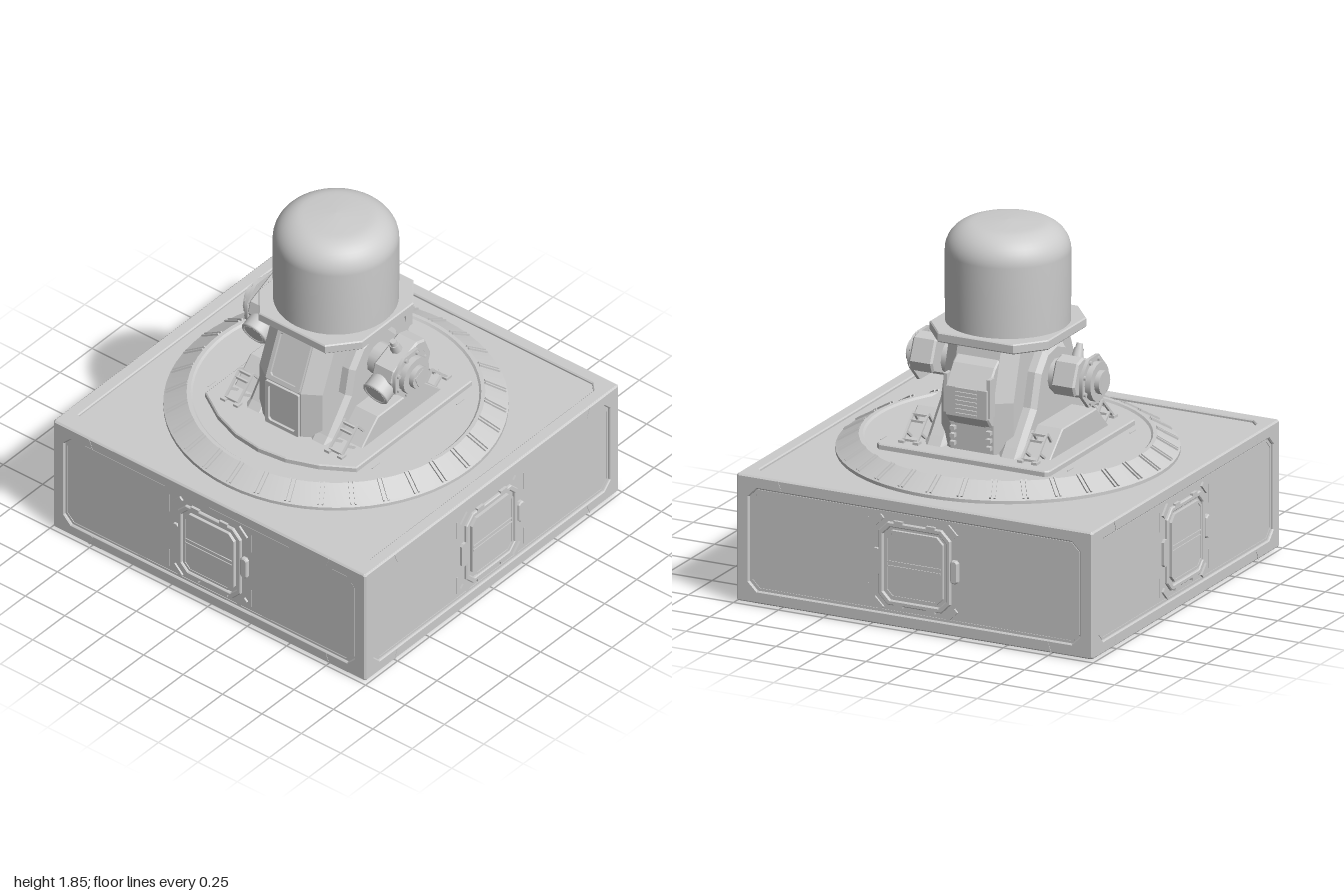
import * as THREE from 'three';
import { ConvexGeometry } from 'three/addons/geometries/ConvexGeometry.js';
import { toCreasedNormals } from 'three/addons/utils/BufferGeometryUtils.js';

const grey = new THREE.MeshStandardMaterial({ color: 0xcccccc });
grey.name = 'light grey';

function add(parent, name, geometry, x = 0, y = 0, z = 0) {
  const mesh = new THREE.Mesh(geometry, grey);
  mesh.name = name;
  mesh.position.set(x, y, z);
  parent.add(mesh);
  return mesh;
}
function group(parent, name) {
  const g = new THREE.Group();
  g.name = name;
  parent.add(g);
  return g;
}
const box = (w, h, d) => new THREE.BoxGeometry(w, h, d);
const cylX = (r1, r2, h, n = 24) => new THREE.CylinderGeometry(r1, r2, h, n).rotateZ(-Math.PI / 2);
const cylZ = (r1, r2, h, n = 24) => new THREE.CylinderGeometry(r1, r2, h, n).rotateX(Math.PI / 2);
const poly = (pts) => new THREE.Shape(pts.map((p) => new THREE.Vector2(p[0], p[1])));
// rectangle with cut corners
const cutRect = (w, h, c) => [[-w + c, -h], [w - c, -h], [w, -h + c], [w, h - c], [w - c, h], [-w + c, h], [-w, h - c], [-w, -h + c]];

// plate standing on z = 0, optionally pierced and bevelled
function plate(pts, depth, hole, bevel = 0) {
  const shape = poly(pts);
  if (hole) shape.holes.push(poly(hole));
  return new THREE.ExtrudeGeometry(shape, {
    depth: depth - bevel, bevelEnabled: bevel > 0, bevelSize: bevel, bevelThickness: bevel, bevelOffset: -bevel, bevelSegments: 1,
  });
}
// (z, y) profile extruded along x and centred on it
const slabX = (pts, w, bevel = 0) => new THREE.ExtrudeGeometry(poly(pts), {
  depth: w - 2 * bevel, bevelEnabled: bevel > 0, bevelSize: bevel, bevelThickness: bevel, bevelOffset: -bevel, bevelSegments: 1,
}).translate(0, 0, -w / 2 + bevel).rotateY(-Math.PI / 2);

function strut(parent, a, b, t = 0.012) {
  const p = new THREE.Vector3(...a), q = new THREE.Vector3(...b);
  const m = add(parent, 'strut', box(t, t, p.distanceTo(q)));
  m.position.copy(p).add(q).multiplyScalar(0.5);
  m.lookAt(q);
}

// hatch facing +z, its back on z = 0
function hatch(parent) {
  const g = group(parent, 'hatch');
  add(g, 'hatchSurround', plate(cutRect(0.2, 0.215, 0.05), 0.018, cutRect(0.175, 0.19, 0.04), 0.005));
  add(g, 'hatchDoor', plate(cutRect(0.16, 0.175, 0.035), 0.016, null, 0.006));
  add(g, 'hatchRim', plate(cutRect(0.16, 0.175, 0.035), 0.02, cutRect(0.148, 0.163, 0.03)));
  for (const y of [-0.012, 0.012]) add(g, 'hatchBar', box(0.3, 0.008, 0.01), 0, y, 0.016);
  for (const sx of [-1, 1]) {
    for (const sy of [-1, 1]) {
      const c = add(g, 'cornerClamp', box(0.07, 0.025, 0.014), sx * 0.205, sy * 0.215, 0.007);
      c.rotation.z = -sx * sy * Math.PI / 4;
      add(g, 'edgeClip', box(0.05, 0.02, 0.018), sx * 0.09, sy * 0.215, 0.009);
      add(g, 'sideStrip', box(0.006, 0.1, 0.006), sx * 0.26, sy * 0.17, 0.003);
    }
  }
  add(g, 'hinge', plate(cutRect(0.022, 0.07, 0.012), 0.018), -0.215, 0, 0);
  add(g, 'grip', plate(cutRect(0.022, 0.06, 0.012), 0.025, null, 0.006), 0.222, 0.01, 0);
  return g;
}

function buildBase(root) {
  const g = group(root, 'base');
  const corners = [];
  for (const sx of [-1, 1]) for (const sz of [-1, 1]) for (const [y, y2] of [[0.01, 0.03], [0.655, 0.635]]) {
    corners.push(new THREE.Vector3(sx * 0.96, y, sz * 0.96), new THREE.Vector3(sx * 0.978, y2, sz * 0.96), new THREE.Vector3(sx * 0.96, y2, sz * 0.978));
  }
  add(g, 'baseBlock', new ConvexGeometry(corners));
  // four framed sides with a hatch each
  for (let i = 0; i < 4; i++) {
    const side = group(g, 'baseSide');
    side.rotation.y = i * Math.PI / 2;
    add(side, 'sideFrame', plate(cutRect(0.988, 0.328, 0.008), 0.025, cutRect(0.92, 0.265, 0.045), 0.006), 0, 0.34, 0.966);
    add(side, 'panelEdge', plate(cutRect(0.915, 0.26, 0.045), 0.004, cutRect(0.905, 0.25, 0.042)), 0, 0.34, 0.977);
    for (const s of [-1, 1]) for (const y of [0.04, 0.637]) {
      const seam = add(side, 'frameSeam', box(0.006, 0.055, 0.006), s * 0.75, y, 0.99);
      seam.rotation.z = (y > 0.3 ? -1 : 1) * s * 0.35;
    }
    hatch(side).position.set(0, 0.335, 0.975);
  }
  const top = add(g, 'topFrame', plate(cutRect(0.988, 0.988, 0.008), 0.025, cutRect(0.92, 0.92, 0.045), 0.006), 0, 0.645, 0);
  top.rotation.x = -Math.PI / 2;
  const under = hatch(g);
  under.name = 'bottomHatch';
  under.rotation.x = Math.PI / 2;
  under.position.y = 0.0101;
  under.scale.set(0.75, 0.75, 0.4);
}

function buildRing(root) {
  const g = group(root, 'turntable');
  const profile = [[0.85, 0.65], [0.85, 0.672], [0.835, 0.68], [0.735, 0.738], [0.715, 0.738], [0.705, 0.728], [0, 0.728]];
  const lathe = new THREE.LatheGeometry(profile.map((p) => new THREE.Vector2(...p)), 64);
  add(g, 'turntableRing', toCreasedNormals(lathe, 0.3));
  // paired ribs on the sloping rim
  for (let i = 0; i < 32; i++) {
    const spoke = group(g, 'ribPair');
    spoke.rotation.y = i * Math.PI / 16;
    for (const s of [-1, 1]) {
      const rib = add(spoke, 'rib', box(0.009, 0.014, 0.122), s * 0.011, 0.71, 0.787);
      rib.rotation.x = Math.atan2(0.058, 0.1);
    }
  }
  // platform with a curved front edge
  const edge = [[-0.48, 0.47], [-0.46, 0.49], [0.46, 0.49], [0.48, 0.47], [0.48, -0.43], [0.32, -0.53], [0.16, -0.59], [0, -0.61], [-0.16, -0.59], [-0.32, -0.53], [-0.48, -0.43]];
  add(g, 'platform', plate(edge.reverse(), 0.035, null, 0.006).rotateX(-Math.PI / 2), 0, 0.722, 0);
}

function buildPedestal(root) {
  const g = group(root, 'pedestal');
  const pts = [];
  for (const [y, f, b] of [[0.75, 0.41, -0.38], [1.02, 0.41, -0.38], [1.285, 0.3, -0.3]]) {
    for (const s of [-1, 1]) for (const [x, z] of [[0.11, f], [0.2, f - 0.06], [0.2, b + 0.06], [0.12, b]]) pts.push(new THREE.Vector3(s * x, y, z));
  }
  add(g, 'column', new ConvexGeometry(pts));
  // lower and upper front window frames
  const lower = [cutRect(0.105, 0.128, 0.004), cutRect(0.085, 0.108, 0.012)];
  add(g, 'lowerFrontFrame', plate(lower[0], 0.016, lower[1]), 0, 0.885, 0.408);
  const upper = add(g, 'upperFrontFrame', plate(cutRect(0.105, 0.138, 0.004), 0.016, cutRect(0.085, 0.115, 0.012)), 0, 1.15, 0.354);
  upper.rotation.x = -Math.atan2(0.11, 0.265);
  // rear vent housing with slats
  const vent = slabX([[-0.27, 1.26], [-0.36, 1.2], [-0.44, 1.1], [-0.44, 0.95], [-0.4, 0.9], [-0.36, 0.9]], 0.24, 0.008);
  add(g, 'ventHousing', vent);
  for (let i = 0; i < 7; i++) {
    const y = 0.965 + i * 0.022;
    add(g, 'ventSlat', box(0.12, 0.008, 0.012), 0, y, y > 1.1 ? -0.435 : -0.442);
  }
  for (const s of [-1, 1]) {
    add(g, 'ventRail', box(0.02, 0.2, 0.05), s * 0.12, 1.06, -0.41);
    for (let i = 0; i < 4; i++) add(g, 'rearLug', box(0.025, 0.02, 0.04), s * 0.1, 0.79 + i * 0.04, -0.385);
    // side cheeks carrying the arms
    add(g, 'cheek', slabX([[0.4, 0.75], [0.36, 0.79], [0.225, 0.97], [0.195, 1.11], [0.12, 1.215], [0.02, 1.25], [-0.09, 1.23], [-0.17, 1.14], [-0.22, 0.97], [-0.36, 0.8], [-0.4, 0.75]], 0.12, 0.025), s * 0.205, 0, 0);
    add(g, 'footBlock', slabX([[0.3, 0.75], [0.17, 0.88], [-0.19, 0.88], [-0.33, 0.75]], 0.15, 0.006), s * 0.33, 0, 0);
    // ladder-like braces, front and rear
    for (const d of [-1, 1]) {
      const brace = group(g, 'brace');
      for (const x of [0.29, 0.37]) {
        strut(brace, [s * x, 0.755, d * 0.42], [s * x, 0.88, d * 0.29]);
        strut(brace, [s * x, 0.88, d * 0.29], [s * x, 0.755, d * 0.19]);
        strut(brace, [s * x, 0.8, d * 0.37], [s * x, 0.755, d * 0.31]);
        add(brace, 'braceFoot', box(0.03, 0.016, 0.04), s * x, 0.762, d * 0.41);
      }
      for (const [y, z] of [[0.87, 0.3], [0.845, 0.325], [0.77, 0.405]]) strut(brace, [s * 0.29, y, d * z], [s * 0.37, y, d * z]);
      // thin marks on the platform
      add(g, 'platformMark', box(0.006, 0.006, 0.06), s * 0.52, 0.729, d * 0.33);
    }
  }
}

function buildArm(root, s) {
  const g = group(root, s > 0 ? 'leftArm' : 'rightArm');
  g.position.set(s * 0.385, 1.085, 0);
  g.rotation.x = 0.4;
  add(g, 'armShaft', cylX(0.085, 0.085, 0.16, 12), -s * 0.07, 0, 0);
  add(g, 'armBody', slabX([[0.09, -0.09], [0.12, -0.05], [0.12, 0.05], [0.08, 0.1], [-0.12, 0.1], [-0.17, 0.06], [-0.17, -0.06], [-0.13, -0.1]], 0.13, 0.01), s * 0.01, 0, 0);
  add(g, 'barrel', cylZ(0.072, 0.072, 0.15, 24), 0, -0.005, 0.105);
  add(g, 'barrelRim', new THREE.TorusGeometry(0.066, 0.008, 6, 24), 0, -0.005, 0.18);
  add(g, 'lens', cylZ(0.055, 0.055, 0.01, 24), 0, -0.005, 0.18);
  // stepped outer hub
  add(g, 'hubDisc', cylX(0.135, 0.135, 0.018, 8), s * 0.085, 0, 0);
  add(g, 'hubDrum', cylX(0.1, 0.1, 0.05, 16), s * 0.1, 0, 0);
  add(g, 'hubCap', cylX(0.06, 0.06, 0.03, 16), s * 0.137, 0, 0);
  add(g, 'hubPin', box(0.012, 0.07, 0.07), s * 0.149, 0, 0);
  for (let i = 0; i < 8; i++) {
    const a = i * Math.PI / 4;
    add(g, 'hubBolt', cylX(0.012, 0.012, 0.03, 6), s * 0.09, 0.112 * Math.cos(a), 0.112 * Math.sin(a));
  }
  // finial on the top of the arm
  add(g, 'finialBase', new THREE.CylinderGeometry(0.025, 0.032, 0.05, 8), 0, 0.12, -0.04);
  add(g, 'finial', new THREE.CylinderGeometry(0.017, 0.022, 0.03, 8), 0, 0.155, -0.04);
}

function buildHead(root) {
  const g = group(root, 'head');
  const octagon = [[-0.21, -0.345], [0.21, -0.345], [0.33, -0.2], [0.33, 0.2], [0.21, 0.345], [-0.21, 0.345], [-0.33, 0.2], [-0.33, -0.2]];
  add(g, 'collar', plate(octagon, 0.045, null, 0.006).rotateX(-Math.PI / 2), 0, 1.286, 0);
  // rounded dome
  const profile = [new THREE.Vector2(0.31, 1.32), new THREE.Vector2(0.312, 1.5)];
  for (let i = 0; i <= 10; i++) {
    const a = i / 10 * Math.PI / 2;
    profile.push(new THREE.Vector2(0.16 + 0.152 * Math.cos(a), 1.695 + 0.145 * Math.sin(a)));
  }
  profile.push(new THREE.Vector2(0.08, 1.847), new THREE.Vector2(0, 1.85));
  add(g, 'dome', new THREE.LatheGeometry(profile, 48));
}

export function createModel() {
  const root = new THREE.Group();
  root.name = 'turret';
  buildBase(root);
  buildRing(root);
  buildPedestal(root);
  for (const s of [-1, 1]) buildArm(root, s);
  buildHead(root);
  return root;
}
